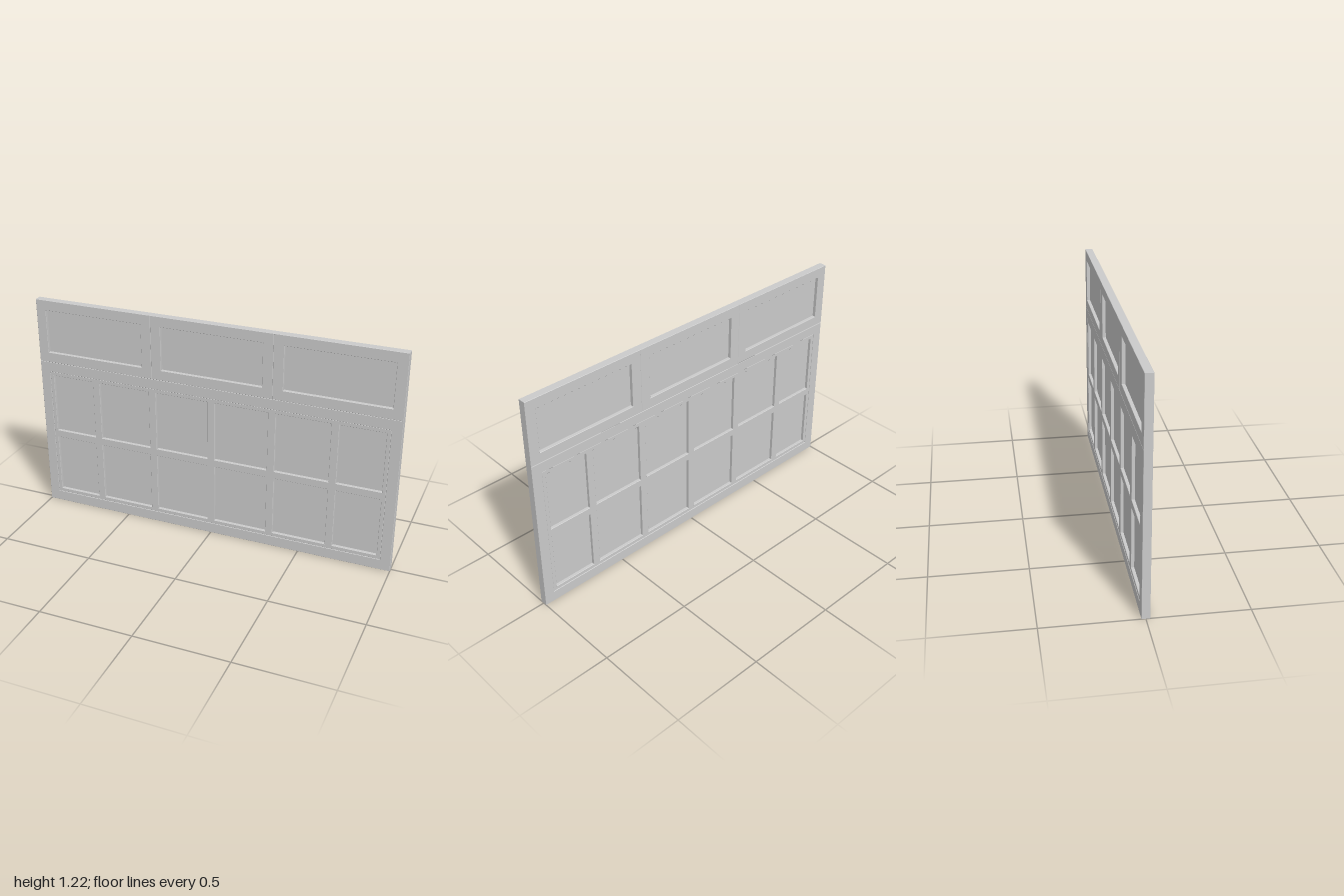
import * as THREE from 'three';

const material = new THREE.MeshStandardMaterial({ color: 0xcccccc, flatShading: true });
const BEVEL = 0.0015;

function rectangle(Type, x0, x1, y0, y1) {
  const r = new Type();
  r.moveTo(x0, y0);
  r.lineTo(x1, y0);
  r.lineTo(x1, y1);
  r.lineTo(x0, y1);
  r.closePath();
  return r;
}

// Flat panel centred on z = 0, pierced by rectangular openings, with fine edge bevels
function piercedPanel(name, outer, openings, depth) {
  const shape = rectangle(THREE.Shape, ...outer);
  for (const o of openings) shape.holes.push(rectangle(THREE.Path, ...o));
  const geometry = new THREE.ExtrudeGeometry(shape, {
    depth: depth - 2 * BEVEL,
    bevelEnabled: true,
    bevelThickness: BEVEL,
    bevelSize: BEVEL,
    bevelOffset: -BEVEL,
    bevelSegments: 1,
  });
  geometry.translate(0, 0, -depth / 2 + BEVEL);
  const mesh = new THREE.Mesh(geometry, material);
  mesh.name = name;
  return mesh;
}

function pane(name, [x0, x1, y0, y1]) {
  const mesh = new THREE.Mesh(new THREE.BoxGeometry(x1 - x0, y1 - y0, 0.005), material);
  mesh.position.set((x0 + x1) / 2, (y0 + y1) / 2, 0);
  mesh.name = name;
  return mesh;
}

export function createModel() {
  const model = new THREE.Group();
  model.name = 'window';
  const frameDepth = 0.042, seam = 0.864, top = 1.216;

  // Large lower sash frame
  const sashOpening = [-0.945, 0.945, 0.059, 0.807];
  const lower = new THREE.Group();
  lower.name = 'lowerWindow';
  lower.add(piercedPanel('lowerFrame', [-1, 1, 0, seam], [sashOpening], frameDepth));

  // Glazing bars: six columns by two rows of panes, slightly shallower than the frame
  const bars = [-0.945, -0.666, -0.334, 0, 0.334, 0.666, 0.945];
  const rows = [[0.08, 0.412], [0.453, 0.786]];
  const cells = [];
  for (let i = 0; i < 6; i++) {
    for (const [y0, y1] of rows) cells.push([bars[i] + 0.02, bars[i + 1] - 0.02, y0, y1]);
  }
  lower.add(piercedPanel('glazingBars', sashOpening, cells, 0.038));
  lower.add(pane('lowerGlass', sashOpening));
  model.add(lower);

  // Three transom lights side by side
  for (let i = -1; i <= 1; i++) {
    const x = i * 2 / 3;
    const opening = [x - 0.278, x + 0.278, 0.92, 1.16];
    const transom = new THREE.Group();
    transom.name = ['rightTransom', 'middleTransom', 'leftTransom'][i + 1];
    transom.add(piercedPanel('transomFrame', [x - 1 / 3, x + 1 / 3, seam, top], [opening], frameDepth));
    transom.add(pane('transomGlass', opening));
    model.add(transom);
  }
  return model;
}
